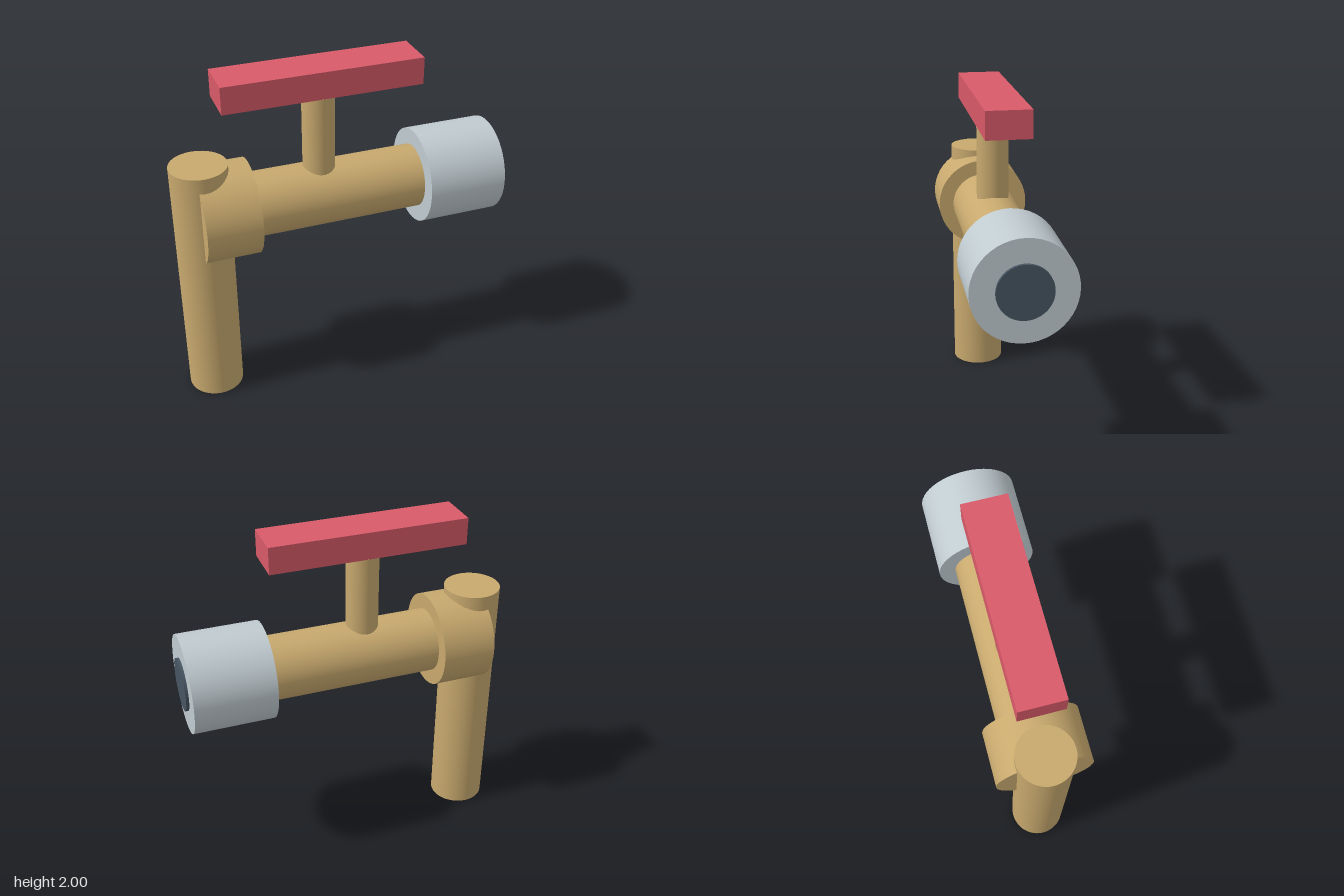
import * as THREE from 'three';

const BRASS = 0xc8a96e, STEEL = 0xc0cbd0, DARK = 0x465562, RED = 0xd85a68;
const AXIS_Y = 1.2; // height of the horizontal pipe

export function createModel() {
  const group = new THREE.Group();

  const add = (name, geometry, color, x, y) => {
    const mesh = new THREE.Mesh(geometry, new THREE.MeshStandardMaterial({ color }));
    mesh.name = name;
    mesh.position.set(x, y, 0);
    group.add(mesh);
  };

  // Upright cylinder between two heights
  const upright = (name, color, r, x, y0, y1) =>
    add(name, new THREE.CylinderGeometry(r, r, y1 - y0, 48), color, x, (y0 + y1) / 2);

  // Cylinder along x, on the pipe axis
  const lying = (name, color, r, x0, x1) =>
    add(name, new THREE.CylinderGeometry(r, r, x1 - x0, 48).rotateZ(-Math.PI / 2), color, (x0 + x1) / 2, AXIS_Y);

  // Spout and main pipe
  upright('spout', BRASS, 0.163, -0.8, 0, 1.51);
  lying('collar', BRASS, 0.275, -0.833, -0.52);
  lying('mainPipe', BRASS, 0.187, -0.75, 0.6);

  // Inlet fitting with its dark opening
  lying('inletNut', STEEL, 0.282, 0.475, 0.943);
  lying('inletOpening', DARK, 0.15, 0.8, 0.96);

  // Valve stem and lever, with a small gap between them
  upright('valveStem', BRASS, 0.093, -0.11, 1.2, 1.827);
  add('handle', new THREE.BoxGeometry(1.134, 0.155, 0.252), RED, -0.11, 1.9225);

  return group;
}
